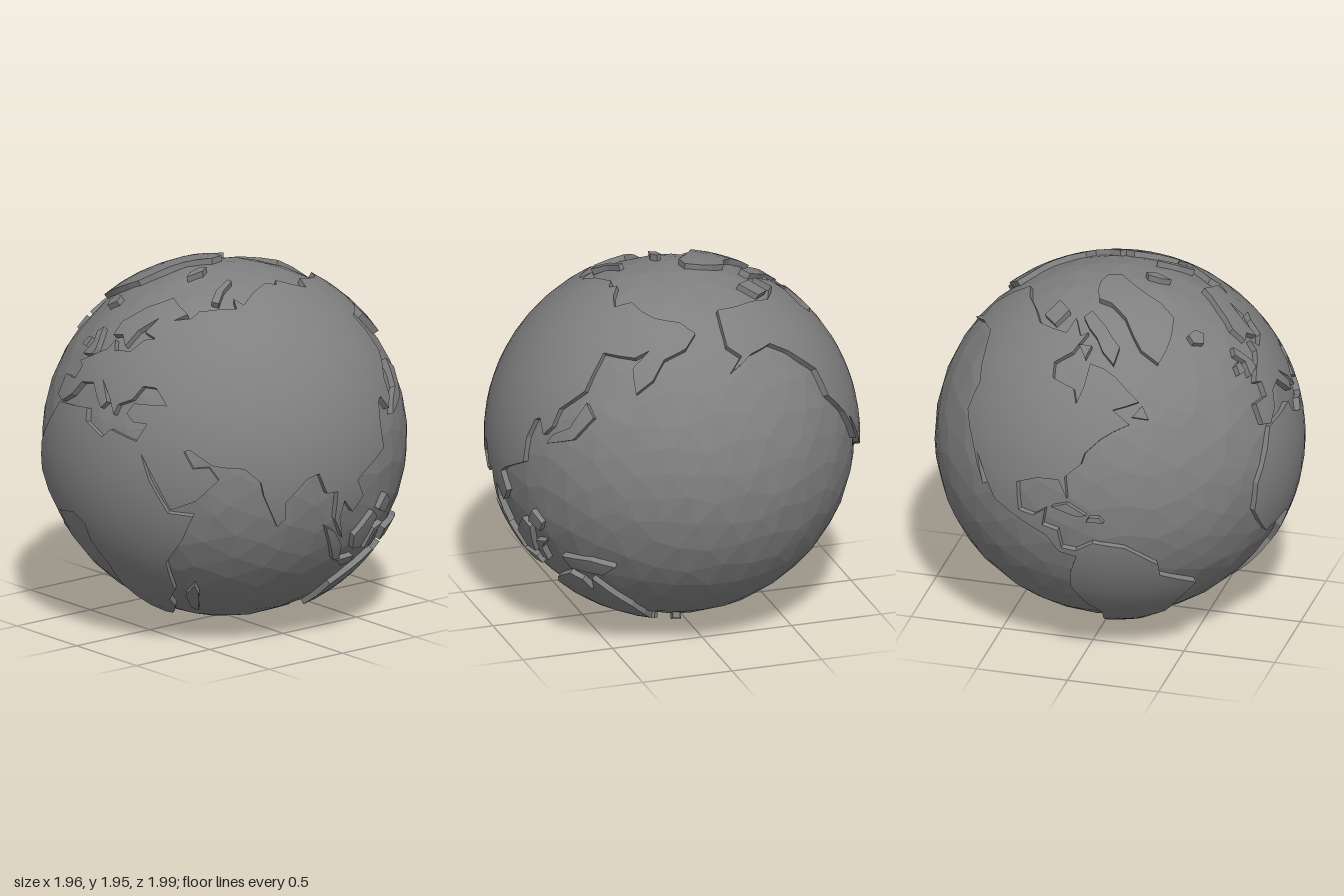
import * as THREE from 'three';

const CENTRE = new THREE.Vector3(0.008, 0.99, 0.003);
const RX = 0.968, RY = 0.95;       // ocean body
const LAND = 1.03, SINK = 0.96;    // land top and hidden wall foot
const FRONT_LON = 100, MAX_EDGE = 0.14;

// latitude stretch: the land runs almost from pole to pole
const LAT = [[-90, -100], [-55, -86], [-38, -70], [-11, -37], [8, -14], [60, 46], [72, 64], [83, 86], [90, 90]];
function stretch(lat) {
  let i = 1;
  while (i < LAT.length - 1 && lat > LAT[i][0]) i++;
  const [a, b] = LAT[i - 1], [c, d] = LAT[i];
  return b + (d - b) * (lat - a) / (c - a);
}

function onGlobe(p, k) {
  const lat = THREE.MathUtils.degToRad(stretch(p.y));
  const lon = THREE.MathUtils.degToRad(p.x - FRONT_LON);
  return new THREE.Vector3(
    RX * k * Math.cos(lat) * Math.sin(lon),
    RY * k * Math.sin(lat),
    RX * k * Math.cos(lat) * Math.cos(lon));
}

// outlines as longitude, latitude pairs
const OUTLINES = {
  europeAndArabia: [60, 25.5, 60, 69, 46, 68, 43, 66, 34, 65, 40, 67, 25, 71, 13, 67, 5, 62, 6, 58, 11, 59, 16, 56,
    18, 61, 25, 65, 22, 61, 29, 60, 24, 59, 20, 55, 12, 54, 9, 57, 8, 54, 4, 52, -4, 48, -1, 47, -2, 43, -9, 43, -9, 37,
    -5, 36, 0, 39, 3, 43, 9, 44, 16, 38, 18, 40, 13, 45.5, 19, 41, 22, 37, 23, 40, 28, 42, 31, 46, 36, 46, 41, 41.5,
    29, 41, 27, 38, 30, 36, 35, 36, 32, 31, 34, 28, 39, 21, 44, 13, 52, 16, 59, 22, 56, 25.5, 51, 25, 48, 29.5, 50, 30, 57, 26],
  asia: [60, 25.5, 60, 69, 68, 69, 67, 72, 73, 70, 82, 73, 100, 75, 108, 74, 113, 75, 130, 71, 140, 73, 160, 70, 176, 69,
    184, 66, 178, 62.5, 168, 60, 164, 54, 158, 50, 155, 57, 161, 62, 155, 60, 140, 60, 138, 48.5, 130, 42, 129, 37,
    126, 34, 123, 38, 121, 37, 119, 31.5, 119, 24.5, 109, 20, 106, 18, 109, 13, 105, 9, 101, 13, 100, 8,
    103, 1.5, 98, 8, 98, 16, 94, 16, 91, 22, 87, 21, 80, 15, 80, 10, 77.5, 8, 73, 17, 72, 21, 67, 25],
  africa: [32, 31, 34, 28, 37, 21, 43, 12, 51, 11.5, 47, 4, 40, -4, 40, -15, 35, -20, 35, -24, 31, -28, 26, -31, 19, -31.5,
    15, -27, 12, -17, 13, -8, 9, -1, 9, 4, 4, 6.5, -8, 4.5, -13, 9, -17, 14, -16, 22, -10, 30, -6, 35.5, 10, 37,
    11, 33.5, 19, 30.5, 22, 33],
  northAmerica: [-77.5, 7, -83, 8, -87, 13, -95, 16, -105, 20, -112, 29, -114, 31, -110, 23, -117, 33, -124, 40, -124, 48,
    -133, 56, -140, 60, -152, 59, -164, 55, -157, 59, -162, 62, -160, 67, -157, 71, -128, 70, -115, 68, -95, 68,
    -94, 72, -86, 68, -82, 69, -87, 64, -94, 61, -92, 57, -82, 55, -80, 51, -78, 56, -77, 62, -70, 61, -65, 59, -56, 52,
    -66, 50, -60, 46, -66, 44, -70, 42, -75, 38, -76, 35, -81, 31, -80, 25, -83, 30, -90, 29.5, -97, 27, -96, 19, -91, 18.5,
    -87, 21, -88, 16, -83, 15, -82, 9.5, -77.5, 9],
  southAmerica: [-77.5, 9, -72, 12, -62, 10.5, -51, 4, -50, 0, -35, -6, -39, -13, -41, -22, -48, -27, -53, -34, -58, -35,
    -62, -39, -65, -43, -68, -48, -66, -53, -72, -52, -75, -46, -73, -37, -71, -19, -76, -14, -81, -5, -80, 1, -77.5, 7],
  australia: [113, -17.5, 115, -29, 126, -28, 137, -29, 146, -34, 156, -35, 156, -27, 153, -20, 146, -13, 141, -8,
    138, -14, 136, -9.5, 131, -8, 120, -13],
  greenland: [-45, 61.5, -52, 65, -58, 73, -70, 76, -84, 76.7, -100, 80.7, -104, 83, -40, 83, -24, 74.5, -24, 71],
  iceland: [-23, 64, -18, 63, -14, 65, -17, 66.5, -23, 66],
  britain: [-5, 50, 1, 51, 1, 53, -2, 57, -4, 59, -6, 57, -3, 54],
  ireland: [-10, 52, -6, 52, -6, 55, -9, 54.5],
  novayaZemlya: [52, 71, 57, 70.5, 60, 74, 68, 76.5, 64, 77, 54, 74],
  svalbard: [12, 78, 17, 76.5, 26, 79, 22, 80.5, 12, 80],
  madagascar: [44, -17, 44, -24, 47, -25.5, 50, -16, 49, -12],
  japan: [128, 32, 138, 35, 144, 42, 140, 45.5, 136, 38, 130, 35],
  sumatra: [95, 6, 98, 1, 103, -6, 106, -6, 104, -1, 99, 4],
  java: [105, -6.5, 109, -9, 115, -9, 114, -6.5],
  borneo: [109, 1, 111, -3.5, 116, -4, 119, 5, 116, 7],
  sulawesi: [119, -5, 122, -5.5, 122, -1, 125, 2, 120, 1],
  philippines: [119, 7, 124, 5, 126, 8, 122, 11],
  newGuinea: [131, -1.5, 133, -5.5, 146, -5.5, 152, -1.5, 143, -0.5],
  newZealand: [170, -38, 172, -31, 177, -32, 179, -37],
  tasmania: [148, -38, 150, -41, 157, -40, 156, -37.5],
  cuba: [-85, 22, -77, 20, -74, 20.5, -80, 23.5],
  hispaniola: [-74, 18.5, -68.5, 18.5, -70, 20, -73, 20],
  newfoundland: [-59, 48, -53, 47, -55, 51],
  baffinIsland: [-66, 62, -63, 66, -72, 71, -85, 74, -89, 72.5, -76, 68, -72, 65],
  southamptonIsland: [-80, 63, -78, 66, -85, 66],
  victoriaIsland: [-117, 70, -105, 69, -103, 73, -118, 74],
};

// raised plate: cap split to follow the globe, plus walls down into the ocean
function landGeometry(flat) {
  const pts = [];
  for (let i = 0; i < flat.length; i += 2) pts.push(new THREE.Vector2(flat[i], flat[i + 1]));
  if (THREE.ShapeUtils.isClockWise(pts)) pts.reverse();
  const verts = [], normals = [];
  const top = p => onGlobe(p, LAND), foot = p => onGlobe(p, SINK);
  const length = (a, b) => top(a).distanceTo(top(b));
  const middle = (a, b) => a.clone().add(b).multiplyScalar(0.5);
  const put = (v, n) => {
    verts.push(...v.toArray());
    normals.push(...n.toArray());
  };

  // the cap is shaded smoothly along the globe
  function cap(a, b, c) {
    const ab = length(a, b), bc = length(b, c), ca = length(c, a);
    const longest = Math.max(ab, bc, ca);
    if (longest < MAX_EDGE) {
      for (const v of [top(a), top(b), top(c)]) put(v, v.clone().normalize());
      return;
    }
    if (longest === bc) [a, b, c] = [b, c, a];
    else if (longest === ca) [a, b, c] = [c, a, b];
    const m = middle(a, b);
    cap(a, m, c);
    cap(m, b, c);
  }
  // walls are flat
  function wall(a, b) {
    if (length(a, b) >= MAX_EDGE) {
      const m = middle(a, b);
      wall(a, m);
      wall(m, b);
      return;
    }
    const [fa, fb, ta, tb] = [foot(a), foot(b), top(a), top(b)];
    const n = fb.clone().sub(fa).cross(tb.clone().sub(fa)).normalize();
    for (const v of [fa, fb, tb, fa, tb, ta]) put(v, n);
  }

  for (const [i, j, k] of THREE.ShapeUtils.triangulateShape(pts, [])) {
    const [a, b, c] = [pts[i], pts[j], pts[k]];
    const ccw = (b.x - a.x) * (c.y - a.y) - (b.y - a.y) * (c.x - a.x) > 0;
    if (ccw) cap(a, b, c); else cap(a, c, b);
  }
  pts.forEach((p, i) => wall(p, pts[(i + 1) % pts.length]));

  const geo = new THREE.BufferGeometry();
  geo.setAttribute('position', new THREE.Float32BufferAttribute(verts, 3));
  geo.setAttribute('normal', new THREE.Float32BufferAttribute(normals, 3));
  return geo;
}

// faceted ball with its corners nudged sideways for uneven facets
function oceanGeometry() {
  const geo = new THREE.IcosahedronGeometry(1, 6);
  const pos = geo.attributes.position, v = new THREE.Vector3();
  for (let i = 0; i < pos.count; i++) {
    v.fromBufferAttribute(pos, i);
    const { x, y, z } = v;
    v.x += 0.03 * Math.sin(23 * y + 17 * z);
    v.y += 0.03 * Math.sin(19 * z + 29 * x);
    v.z += 0.03 * Math.sin(31 * x + 13 * y);
    v.normalize();
    pos.setXYZ(i, RX * v.x, RY * v.y, RX * v.z);
  }
  geo.computeVertexNormals();
  return geo;
}

export function createModel() {
  const group = new THREE.Group();
  group.name = 'globe';
  const color = 0x808080;
  const oceanMaterial = new THREE.MeshStandardMaterial({ color, flatShading: true });
  const landMaterial = new THREE.MeshStandardMaterial({ color });

  function add(name, geometry, material) {
    const mesh = new THREE.Mesh(geometry, material);
    mesh.name = name;
    mesh.position.copy(CENTRE);
    group.add(mesh);
  }
  add('ocean', oceanGeometry(), oceanMaterial);
  for (const [name, outline] of Object.entries(OUTLINES)) add(name, landGeometry(outline), landMaterial);
  return group;
}
